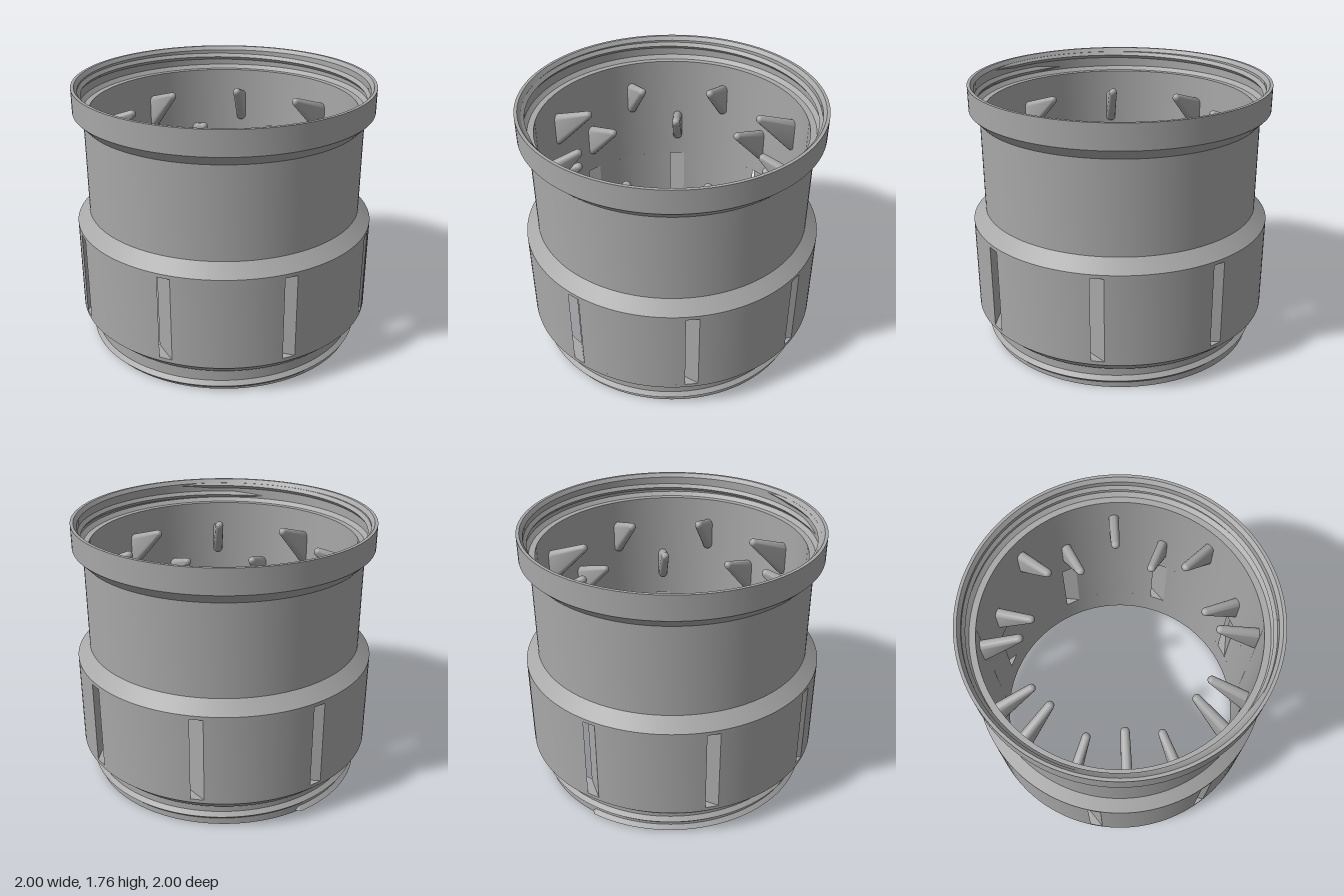
import * as THREE from 'three';
import { toCreasedNormals } from 'three/addons/utils/BufferGeometryUtils.js';
import { ConvexGeometry } from 'three/addons/geometries/ConvexGeometry.js';

const rad = THREE.MathUtils.degToRad;
const BORE = 0.88;
const SLOT_LOW = 0.245;
const SLOT_HIGH = 0.815;

// Ring turned from a closed cross-section: outside upwards, inside downwards
function ring(profile) {
  const points = [...profile, profile[0]].map(([r, y]) => new THREE.Vector2(r, y));
  return toCreasedNormals(new THREE.LatheGeometry(points, 144), 0.4);
}

// Wall block between two slanted slots
function wallBlock() {
  const points = [];
  const arc = (r, from, to) => {
    for (let i = 0; i <= 16; i++) {
      const a = rad(from + (to - from) * i / 16);
      points.push(new THREE.Vector2(r * Math.sin(a), -r * Math.cos(a)));
    }
  };
  arc(1, 12.44, 52.56);
  arc(BORE, 41.55, 3.45);
  const geometry = new THREE.ExtrudeGeometry(new THREE.Shape(points), {
    depth: SLOT_HIGH - SLOT_LOW, bevelEnabled: false,
  });
  geometry.rotateX(-Math.PI / 2).translate(0, SLOT_LOW, 0);
  return toCreasedNormals(geometry, 0.4);
}

// Triangular helical ridge; it fades into the wall at both ends
function thread(base, crest, half, yFront, pitch, fromDeg, toDeg, yMin, yMax) {
  const steps = 288, position = [], index = [];
  for (let i = 0; i <= steps; i++) {
    const deg = fromDeg + (toDeg - fromDeg) * i / steps;
    const a = rad(deg);
    const fade = Math.min(1, i / 10, (steps - i) / 10);
    const y = yFront + pitch * deg / 360;
    const section = [[base, y - half * fade], [base + (crest - base) * fade, y], [base, y + half * fade]];
    if (crest < base) section.reverse();
    for (const [r, h] of section) {
      position.push(r * Math.sin(a), THREE.MathUtils.clamp(h, yMin, yMax), r * Math.cos(a));
    }
    if (i === steps) continue;
    for (let j = 0; j < 2; j++) {
      const p = i * 3 + j, q = p + 3;
      index.push(p, q, q + 1, p, q + 1, p + 1);
    }
  }
  const geometry = new THREE.BufferGeometry();
  geometry.setAttribute('position', new THREE.Float32BufferAttribute(position, 3));
  geometry.setIndex(index);
  return toCreasedNormals(geometry, 0.4);
}

// Rounded fin stretched over three balls: raised tip, wall top, wall bottom
function finGeometry() {
  const points = [];
  for (const [r, z, y] of [[0.028, 0.628, 0.29], [0.034, BORE, 0.2], [0.034, BORE, 0.035]]) {
    const ball = new THREE.SphereGeometry(r, 16, 10).translate(0, y, z);
    const p = ball.attributes.position;
    for (let i = 0; i < p.count; i++) points.push(new THREE.Vector3().fromBufferAttribute(p, i));
  }
  return toCreasedNormals(new ConvexGeometry(points), 0.5);
}

export function createModel() {
  const group = new THREE.Group();
  const grey = new THREE.MeshStandardMaterial({ color: 0xa8a8a8, side: THREE.DoubleSide });
  grey.name = 'grey';
  const add = (name, geometry) => {
    const mesh = new THREE.Mesh(geometry, grey);
    mesh.name = name;
    group.add(mesh);
    return mesh;
  };

  // Threaded foot below the slots
  add('lowerRing', ring([
    [BORE, 0], [0.912, 0], [0.912, 0.15], [0.93, 0.15], [1, 0.22], [1, SLOT_LOW], [BORE, SLOT_LOW],
  ]));
  add('outerThread', thread(0.911, 0.937, 0.027, 0.0325, 0.07, -100, 690 - 360, 0, 0.165));
  add('outerThreadStart', thread(0.911, 0.937, 0.027, 0.0325, 0.07, -130, -80, 0, 0.165));

  // Slotted band
  const block = wallBlock();
  for (let k = 0; k < 8; k++) {
    add('slottedWall', block).rotation.y = k * Math.PI / 4;
  }

  // Shoulder, neck and flared socket
  add('upperRing', ring([
    [BORE, SLOT_HIGH], [1, SLOT_HIGH], [1, 0.84], [0.918, 0.92], [0.918, 1.53],
    [0.985, 1.6], [0.985, 1.76], [0.965, 1.76], [0.945, 1.735], [0.945, 1.625],
    [0.92, 1.6], [BORE, 1.6],
  ]));
  add('innerThread', thread(0.946, 0.925, 0.024, 1.645, 0.07, 0, 400, 1.61, 1.735));

  // Sixteen inner fins, alternating between two heights
  const fin = finGeometry();
  for (let k = 0; k < 16; k++) {
    const mesh = add('innerFin', fin);
    mesh.rotation.y = k * Math.PI / 8;
    mesh.position.y = k % 2 ? 1.21 : 0.95;
  }
  return group;
}
